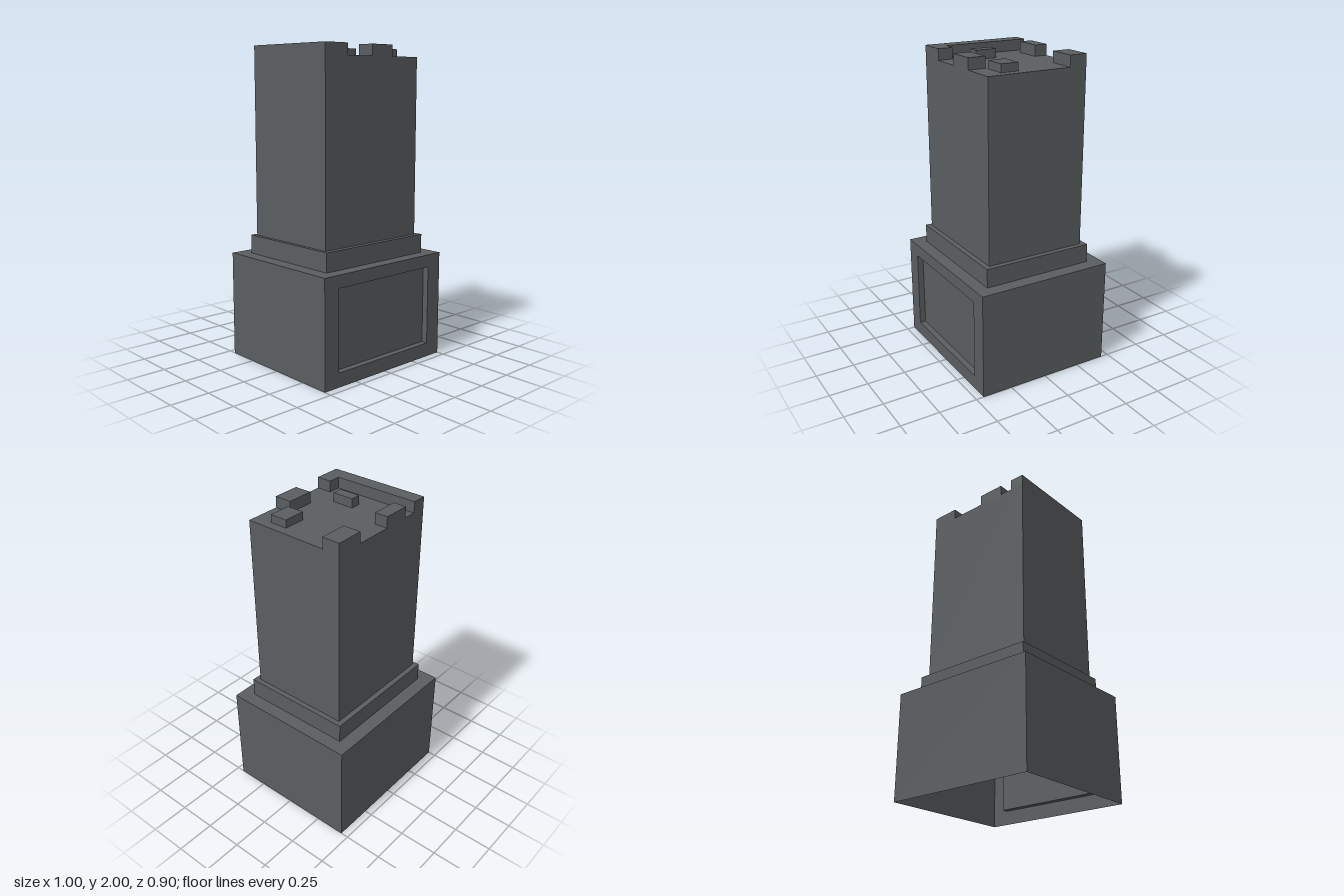
import * as THREE from 'three';

const stone = new THREE.MeshStandardMaterial({ color: 0x5a5e60, side: THREE.DoubleSide });
stone.name = 'dark grey stone';

// BoxGeometry face order, used to leave faces open
const BOTTOM = 3, FRONT = 4;

// Box between two corners, without the listed faces
function box(name, [x0, x1], [y0, y1], [z0, z1], open = [BOTTOM]) {
  const geometry = new THREE.BoxGeometry(x1 - x0, y1 - y0, z1 - z0);
  const index = Array.from(geometry.index.array);
  geometry.setIndex(index.filter((_, i) => !open.includes(Math.floor(i / 6))));
  geometry.clearGroups();
  geometry.translate((x0 + x1) / 2, (y0 + y1) / 2, (z0 + z1) / 2);
  const mesh = new THREE.Mesh(geometry, stone);
  mesh.name = name;
  return mesh;
}

function rectangle(target, [x0, x1], [y0, y1]) {
  target.moveTo(x0, y0);
  target.lineTo(x1, y0);
  target.lineTo(x1, y1);
  target.lineTo(x0, y1);
  target.closePath();
  return target;
}

export function createModel() {
  const model = new THREE.Group();
  model.name = 'tower';

  // Hollow base, open underneath, with a sunken panel in the front wall
  const base = new THREE.Group();
  base.name = 'base';
  const panelX = [-0.39, 0.39], panelY = [0.09, 0.6];
  const wall = rectangle(new THREE.Shape(), [-0.5, 0.5], [0, 0.68]);
  wall.holes.push(rectangle(new THREE.Path(), panelX, panelY));
  const frontWall = new THREE.Mesh(new THREE.ShapeGeometry(wall), stone);
  frontWall.name = 'frontWall';
  frontWall.position.z = 0.45;
  base.add(
    box('baseWalls', [-0.5, 0.5], [0, 0.68], [-0.45, 0.45], [BOTTOM, FRONT]),
    frontWall,
  );

  // The recess is seen from inside, so its faces are turned round
  const recess = box('frontRecess', panelX, panelY, [0.41, 0.45], [FRONT]);
  recess.geometry.setIndex(Array.from(recess.geometry.index.array).reverse());
  const normals = recess.geometry.attributes.normal;
  for (let i = 0; i < normals.array.length; i++) normals.array[i] *= -1;
  base.add(recess);
  model.add(base);

  // Step and shaft
  model.add(
    box('step', [-0.413, 0.413], [0.68, 0.8], [-0.362, 0.368]),
    box('shaft', [-0.39, 0.38], [0.8, 1.93], [-0.328, 0.335]),
  );

  // Broken parapet: an L-shaped wall along one side
  const parapet = new THREE.Group();
  parapet.name = 'parapet';
  const outline = [[-0.39, -0.335], [-0.215, -0.335], [-0.215, -0.238],
    [-0.295, -0.238], [-0.295, 0.328], [-0.39, 0.328]];
  const sideWall = new THREE.Mesh(new THREE.ExtrudeGeometry(
    new THREE.Shape(outline.map(([x, y]) => new THREE.Vector2(x, y))),
    { depth: 0.07, bevelEnabled: false },
  ), stone);
  sideWall.name = 'sideParapet';
  sideWall.rotation.x = -Math.PI / 2;
  sideWall.position.y = 1.93;
  parapet.add(
    sideWall,
    box('backMerlon', [-0.21, -0.035], [1.93, 2], [-0.328, -0.243]),
    box('cornerMerlon', [0.203, 0.38], [1.93, 2], [-0.328, -0.213]),
    box('frontMerlon', [-0.017, 0.158], [1.93, 2], [0.222, 0.335]),
  );
  model.add(parapet);

  // Loose blocks on the roof
  model.add(
    box('smallRoofBlock', [-0.185, -0.12], [1.93, 1.987], [-0.01, 0.13]),
    box('wideRoofBlock', [0.182, 0.323], [1.93, 1.98], [0.103, 0.217]),
  );

  return model;
}
